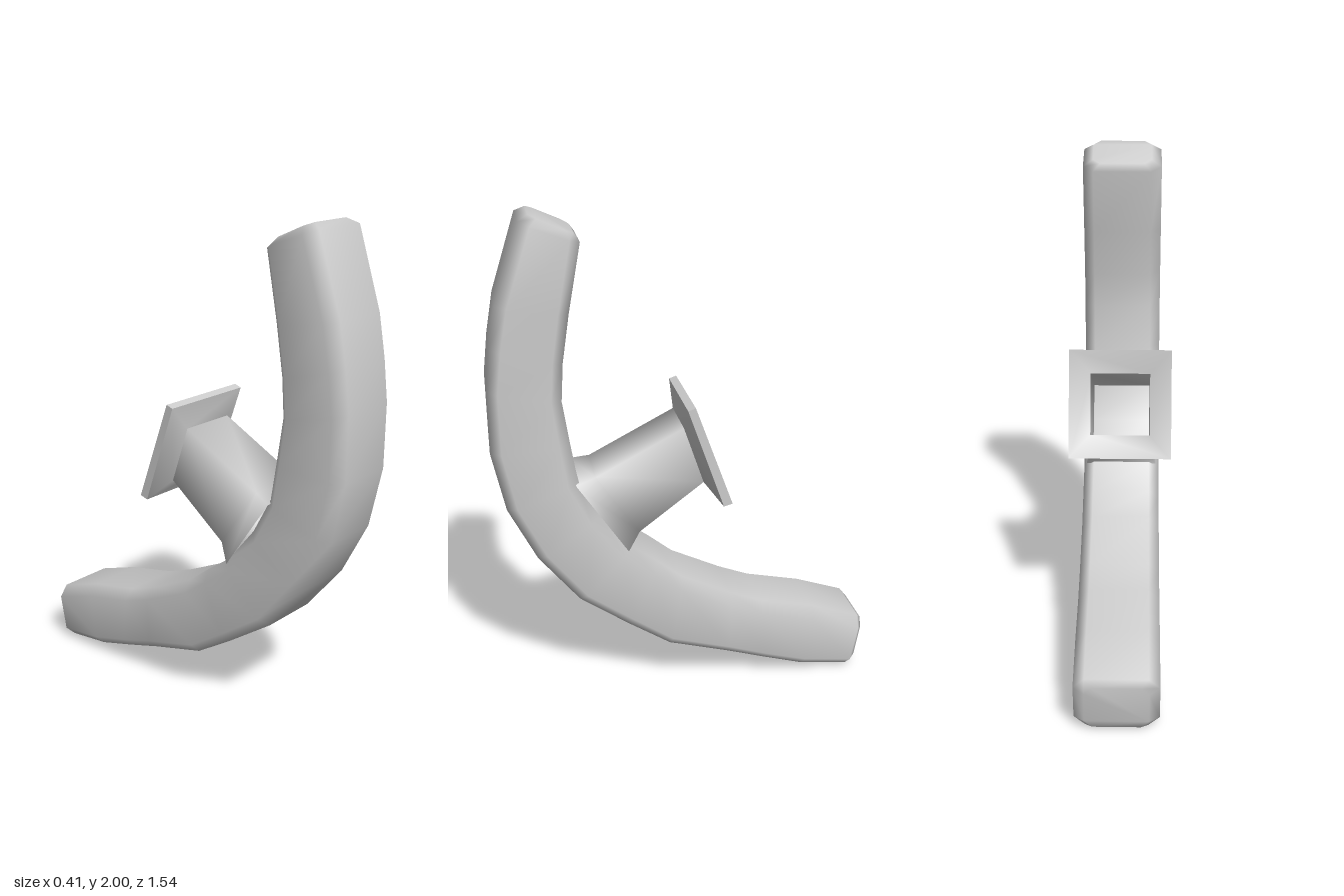
import * as THREE from 'three';

// Ring of points across a section: a and b are [z, y] on the two faces,
// hx is the half width and c the corner chamfer (0 gives a plain rectangle).
function ring([az, ay, bz, by, hx, c = 0]) {
  const len = Math.hypot(bz - az, by - ay);
  const outline = c
    ? [[-hx, c], [c - hx, 0], [hx - c, 0], [hx, c], [hx, len - c], [hx - c, len], [c - hx, len], [-hx, len - c]]
    : [[-hx, 0], [hx, 0], [hx, len], [-hx, len]];
  return outline.map(([x, t]) => [x, ay + (by - ay) * t / len, az + (bz - az) * t / len]);
}

// Skin a row of sections, with optional end caps
function loft(sections, capped) {
  const rings = sections.map(ring);
  const n = rings[0].length, index = [];
  for (let i = 0; i < rings.length - 1; i++) {
    for (let j = 0; j < n; j++) {
      const a = i * n + j, a2 = i * n + (j + 1) % n;
      index.push(a, a + n, a2, a2, a + n, a2 + n);
    }
  }
  if (capped) {
    const e = (rings.length - 1) * n;
    for (let j = 1; j < n - 1; j++) index.push(0, j, j + 1, e, e + j + 1, e + j);
  }
  const geo = new THREE.BufferGeometry();
  geo.setAttribute('position', new THREE.Float32BufferAttribute(rings.flat(2), 3));
  geo.setIndex(index);
  geo.computeVertexNormals();
  return geo;
}

export function createModel() {
  const group = new THREE.Group();
  const add = (name, geo, side) => {
    const mesh = new THREE.Mesh(geo, new THREE.MeshStandardMaterial({ color: 0xcccccc, side }));
    mesh.name = name;
    group.add(mesh);
  };

  // Curved grip bar: outer z, y and inner z, y down its length
  const path = [
    [0.62, 1.98, 0.40, 1.90], [0.72, 1.68, 0.45, 1.64], [0.75, 1.52, 0.48, 1.45],
    [0.77, 1.36, 0.49, 1.30], [0.77, 1.11, 0.465, 1.13], [0.72, 0.87, 0.44, 0.97],
    [0.61, 0.65, 0.36, 0.82], [0.45, 0.45, 0.24, 0.67], [0.25, 0.31, 0.13, 0.59],
    [0.08, 0.20, 0.03, 0.51], [-0.17, 0.13, -0.18, 0.41], [-0.33, 0.08, -0.31, 0.36],
    [-0.50, 0.03, -0.54, 0.31], [-0.70, 0.005, -0.745, 0.24],
  ].map(p => [...p, 0.163, 0.043]);
  const topCap = [0.58, 2.0, 0.42, 1.93, 0.122, 0.03];
  const endCap = [-0.735, 0.02, -0.767, 0.215, 0.122, 0.03];
  add('gripBar', loft([topCap, ...path, endCap], true), THREE.FrontSide);

  // Hollow neck and its flared mouth: lower z, y and upper z, y
  const base = [0.25, 0.66, 0.45, 0.96, 0.15];
  const neckStart = [0.20, 0.73, 0.37, 0.98, 0.12];
  const neckEnd = [-0.06, 0.925, 0.02, 1.16, 0.12];
  const rimFront = [-0.125, 0.85, 0.02, 1.26, 0.205];
  const rimBack = [-0.16, 0.86, -0.01, 1.27, 0.205];
  add('neck', loft([base, neckStart, neckEnd], false), THREE.DoubleSide);
  add('flare', loft([neckEnd, rimFront], false), THREE.DoubleSide);

  // Thin band around the mouth, flat on each side
  const band = loft([rimFront, rimBack], false).toNonIndexed();
  band.computeVertexNormals();
  add('mountingRim', band, THREE.FrontSide);

  return group;
}
